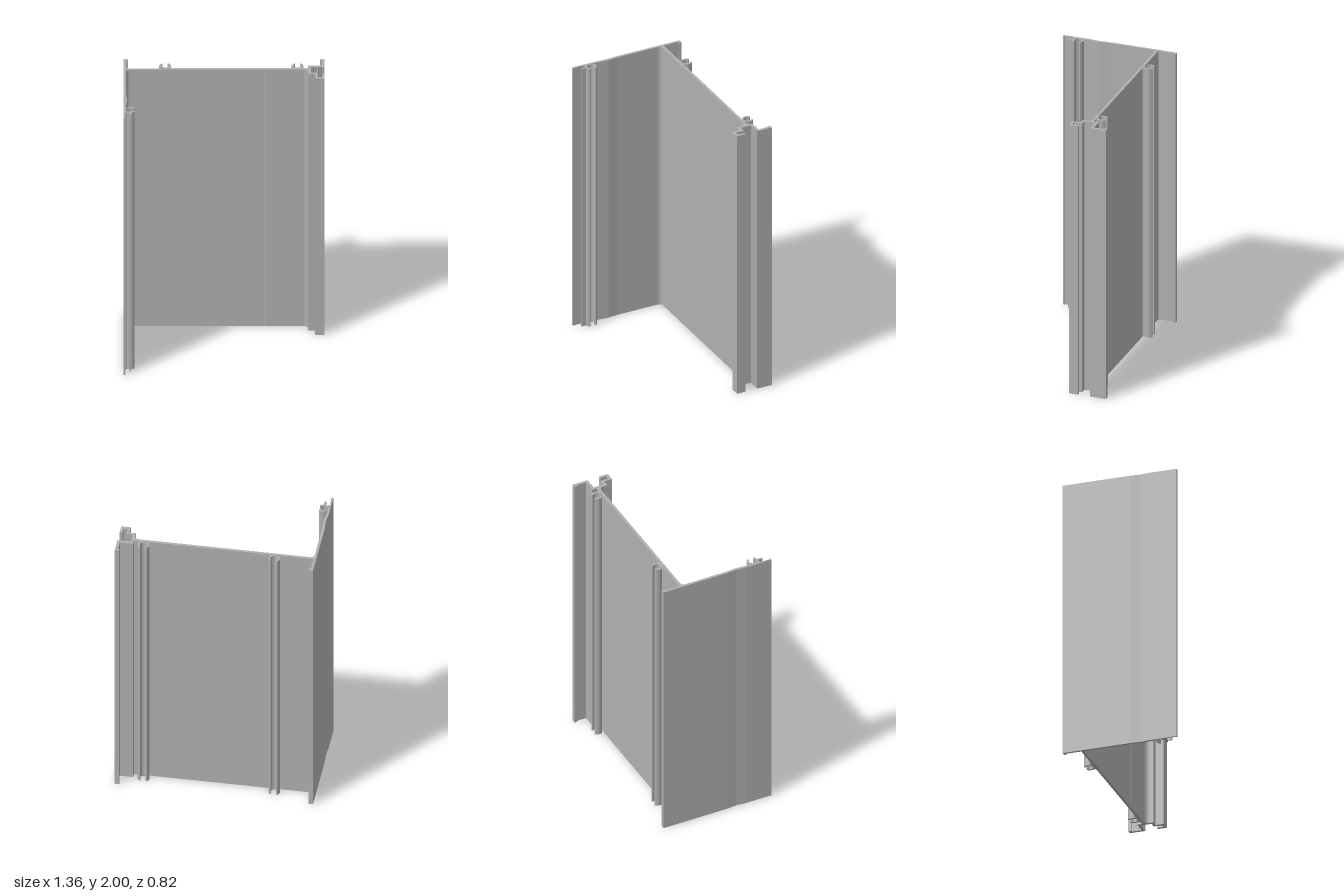
import * as THREE from 'three';

const HEIGHT = 2;
const metal = new THREE.MeshStandardMaterial({ color: 0xb0b0b0 });
metal.name = 'plain aluminium';

// Extrude an outline of [x, z] points upwards from y = 0
function extrude(name, outline) {
  const shape = new THREE.Shape(outline.map(([x, z]) => new THREE.Vector2(x, -z)));
  const geometry = new THREE.ExtrudeGeometry(shape, { depth: HEIGHT, bevelEnabled: false });
  geometry.rotateX(-Math.PI / 2);
  const mesh = new THREE.Mesh(geometry, metal);
  mesh.name = name;
  return mesh;
}

// Quarter round between two points, bulging towards the corner point
function fillet(a, corner, b, steps = 6) {
  const curve = new THREE.QuadraticBezierCurve(
    new THREE.Vector2(...a), new THREE.Vector2(...corner), new THREE.Vector2(...b));
  return curve.getPoints(steps).map(p => [p.x, p.y]);
}

// Open C-shaped screw channel; its mouth faces up in local (u, v), its foot is at v = -depth
function screwChannel(depth) {
  const outer = 0.04, inner = 0.026;
  const mid = (outer + inner) / 2, cap = (outer - inner) / 2;
  const left = Math.PI * 0.75, right = Math.PI * 0.25, base = -0.55;
  const s = new THREE.Shape();
  s.moveTo(-0.036, -depth);
  s.absarc(0, 0, outer, Math.PI - base, left, true);
  s.absarc(mid * Math.cos(left), mid * Math.sin(left), cap, left, left + Math.PI, true);
  s.absarc(0, 0, inner, left, right + Math.PI * 2, false);
  s.absarc(mid * Math.cos(right), mid * Math.sin(right), cap, right + Math.PI, right, true);
  s.absarc(0, 0, outer, right, base, true);
  s.lineTo(0.036, -depth);
  return s.getPoints(8).map(p => [p.x, p.y]);
}

export function createModel() {
  const model = new THREE.Group();
  model.name = 'extrudedProfile';

  // Side wall with rear lip, shallow kink and thinner front edge
  model.add(extrude('sideWall', [
    [-0.683, -0.41], [-0.653, -0.41], [-0.653, -0.39], [-0.665, -0.39],
    [-0.665, 0.07], [-0.659, 0.145], [-0.665, 0.22], [-0.665, 0.33],
    [-0.672, 0.33], [-0.672, 0.398], [-0.669, 0.398], [-0.669, 0.41],
    [-0.683, 0.41], [-0.683, 0.22], [-0.677, 0.145], [-0.683, 0.07],
  ]));

  // Main web with rounded inner corners and a fine marking groove
  model.add(extrude('mainWeb', [
    [-0.665, -0.282], [0.57, -0.282],
    ...fillet([0.57, -0.222], [0.57, -0.263], [0.535, -0.263]),
    [0.278, -0.263], [0.275, -0.267], [0.272, -0.263],
    ...fillet([-0.634, -0.263], [-0.665, -0.263], [-0.665, -0.232]),
  ]));

  // Serrated inner face of the edge bracket
  const teeth = [];
  for (let i = 0; i <= 16; i++) teeth.push([0.592 + i * 0.0055, i % 2 ? -0.301 : -0.295]);

  // Edge bracket: rear flange, serrated arm, spine and front hook
  model.add(extrude('edgeBracket', [
    [0.57, -0.317], [0.661, -0.317], [0.661, -0.39], [0.65, -0.39],
    [0.65, -0.41], [0.681, -0.41], [0.681, -0.297],
    ...teeth.reverse(),
    [0.588, -0.296], [0.588, -0.22], [0.633, -0.22], [0.633, -0.16],
    [0.663, -0.16], [0.663, -0.208], [0.681, -0.208], [0.681, -0.142],
    [0.615, -0.142], [0.615, -0.201], [0.57, -0.201],
  ]));

  // Two screw channels on the back of the web
  const rear = screwChannel(0.035);
  for (const [name, cx] of [['rearScrewChannelRight', -0.4], ['rearScrewChannelLeft', 0.498]]) {
    model.add(extrude(name, rear.map(([u, v]) => [cx + u, -0.317 - v])));
  }

  // Screw channel on the inside of the side wall, with a small stop rib
  model.add(extrude('sideScrewChannel',
    screwChannel(0.027).map(([u, v]) => [-0.638 + v, 0.289 + u])));
  model.add(extrude('stopRib', [
    [-0.643, 0.322], [-0.632, 0.322], [-0.632, 0.362], [-0.643, 0.362],
  ]));

  return model;
}
